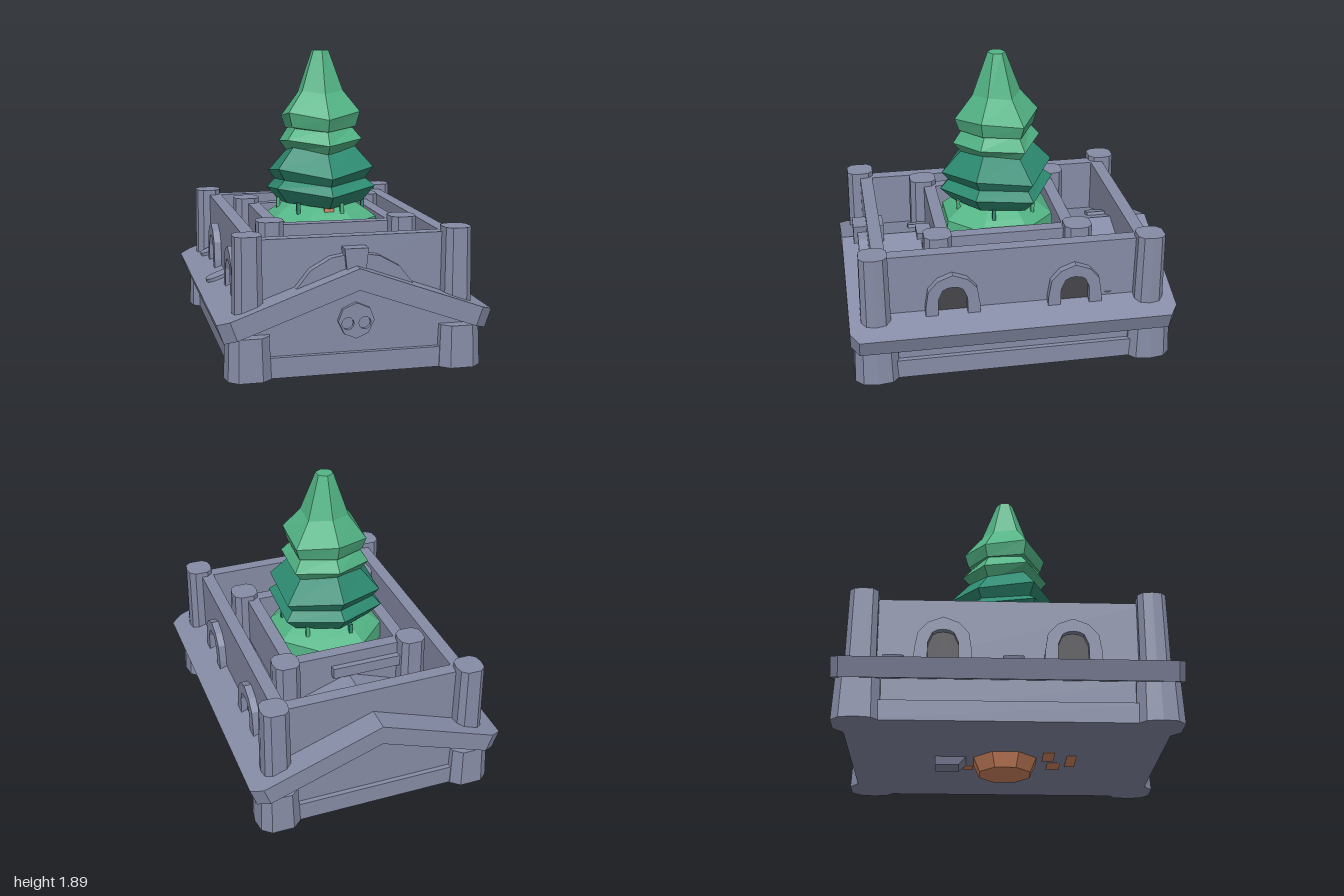
import * as THREE from 'three';

const mat = (name, color) => {
  const m = new THREE.MeshStandardMaterial({ color, flatShading: true });
  m.name = name;
  return m;
};

// Faceted solid through equal-length rings, each counter-clockwise seen from the far end
function loft(rings) {
  const pos = [];
  const tri = (a, b, c) => pos.push(...a, ...b, ...c);
  const n = rings[0].length;
  for (let r = 0; r + 1 < rings.length; r++) {
    const a = rings[r], b = rings[r + 1];
    for (let i = 0; i < n; i++) {
      const j = (i + 1) % n;
      tri(a[i], a[j], b[j]);
      tri(a[i], b[j], b[i]);
    }
  }
  const first = rings[0], last = rings[rings.length - 1];
  for (let i = 1; i + 1 < n; i++) {
    tri(first[0], first[i + 1], first[i]);
    tri(last[0], last[i], last[i + 1]);
  }
  const g = new THREE.BufferGeometry();
  g.setAttribute('position', new THREE.Float32BufferAttribute(pos, 3));
  g.computeVertexNormals();
  return g;
}

// Horizontal polygon ring with a corner at +z; jag lifts and drops alternate corners
const ring = (n, r, y, jag = 0, turn = 0) => Array.from({ length: n }, (_, i) => {
  const a = -Math.PI / 2 + turn + (i / n) * Math.PI * 2;
  return [r * Math.cos(a), y + (i % 2 ? jag : -jag), -r * Math.sin(a)];
});

// Chamfered, slightly bulging square ring for pillars
const pillarRing = (h, y) => {
  const c = h * 0.5, e = h * 0.9;
  return [[h, 0], [e, c * 1.3], [c, h], [-c, h], [-e, c * 1.3], [-h, 0],
    [-e, -c * 1.3], [-c, -h], [c, -h], [e, -c * 1.3]].map(([x, z]) => [x, y, -z]);
};

const shapeOf = (pts) => new THREE.Shape(pts.map(([x, y]) => new THREE.Vector2(x, y)));
const extrude = (shape, depth) =>
  new THREE.ExtrudeGeometry(shape, { depth, bevelEnabled: false, curveSegments: 6 });
const mirrored = (pts) => [...pts, ...pts.slice().reverse().filter(([x]) => x !== 0).map(([x, y]) => [-x, y])];

export function createModel() {
  const model = new THREE.Group();
  const stone = mat('stone', 0x868ca6);
  const dark = mat('dark opening', 0x46464b);
  const leaf = mat('light leaf', 0x53b586);
  const pine = mat('dark leaf', 0x2e8c72);
  const wood = mat('wood', 0xd68861);

  const add = (name, geo, m, x = 0, y = 0, z = 0) => {
    const mesh = new THREE.Mesh(geo, m);
    mesh.name = name;
    mesh.position.set(x, y, z);
    model.add(mesh);
    return mesh;
  };
  // Box given by its minimum and maximum on each axis
  const box = (name, m, x0, x1, y0, y1, z0, z1) =>
    add(name, new THREE.BoxGeometry(x1 - x0, y1 - y0, z1 - z0), m, (x0 + x1) / 2, (y0 + y1) / 2, (z0 + z1) / 2);

  // Lower building
  box('plinth', stone, -0.7, 0.7, 0.085, 0.205, -0.93, 0.93);
  const gable = shapeOf([[-0.67, 0.1], [0.67, 0.1], [0.67, 0.36], [0, 0.6], [-0.67, 0.36]]);
  add('body', extrude(gable, 1.8), stone, 0, 0, -0.9);

  // Gabled roof slab with clipped corners
  const section = (z, d) => [[0, 0.71], [-0.805 + d, 0.42 + d * 0.36], [-0.765 + d, 0.31 + d * 0.36],
    [0, 0.585], [0.765 - d, 0.31 + d * 0.36], [0.805 - d, 0.42 + d * 0.36]].map(([x, y]) => [x, y, z]);
  add('roof', loft([section(-1, 0.07), section(-0.95, 0), section(0.95, 0), section(1, 0.07)]), stone);

  // Corner pillars: stout below the roof, slim on both walls above
  const baseGeo = loft([pillarRing(0.137, 0.085), pillarRing(0.127, 0.335)]);
  const slimGeo = loft([pillarRing(0.09, 0.42), pillarRing(0.084, 0.9)]);
  for (const x of [-1, 1]) for (const z of [-1, 1]) {
    add('basePillar', baseGeo, stone, x * 0.619, 0, z * 0.847);
    add('outerPillar', slimGeo, stone, x * 0.615, 0, z * 0.84);
    add('innerPillar', slimGeo, stone, x * 0.41, 0, z * 0.434);
  }

  // Outer and inner wall rings
  const walls = (name, x, z, t, y0) => {
    for (const s of [-1, 1]) {
      const cx = s * (x - t / 2), cz = s * (z - t / 2);
      box(name + 'Side', stone, cx - t / 2, cx + t / 2, y0, 0.867, -z, z);
      box(name + 'End', stone, -x + t, x - t, y0, 0.867, cz - t / 2, cz + t / 2);
    }
  };
  walls('outerWall', 0.612, 0.842, 0.08, 0.4);
  walls('innerWall', 0.407, 0.432, 0.077, 0.45);

  // Arches with keystones on the front of each wall
  const arc = (rx, ry) => Array.from({ length: 9 }, (_, i) => {
    const a = Math.PI * (i / 8);
    return [rx * Math.cos(a), ry * Math.sin(a)];
  });
  const archGeo = extrude(shapeOf([...arc(0.37, 0.31), ...arc(0.25, 0.225).reverse()]), 0.08);
  for (const [y, z] of [[0.47, 0.82], [0.39, 0.42]]) {
    add('arch', archGeo, stone, 0, y, z);
    const k = extrude(shapeOf([[-0.055, 0.2], [0.055, 0.2], [0.07, 0.34], [-0.07, 0.34]]), 0.19);
    add('keystone', k, stone, 0, y, z - 0.085);
  }
  box('backSlab', stone, -0.4, 0.11, 0.72, 0.79, -0.47, -0.42);

  // Side windows: arched frame and dark opening
  const outer = mirrored([[0.168, 0.4], [0.165, 0.53], [0.148, 0.64], [0.09, 0.705], [0, 0.74]]);
  const inner = mirrored([[0.09, 0.4], [0.088, 0.58], [0.062, 0.64], [0.035, 0.655], [0, 0.66]]);
  const frame = extrude(shapeOf([...outer, ...inner.slice().reverse()]), 0.05);
  const opening = extrude(shapeOf(inner), 0.008);
  for (const s of [-1, 1]) for (const z of [-0.375, 0.375]) {
    add('windowFrame', frame, stone, s * 0.607, 0, z).rotation.y = s * Math.PI / 2;
    add('windowOpening', opening, dark, s * 0.61, 0, z).rotation.y = s * Math.PI / 2;
  }

  // Gable medallion with two round hollows
  const medal = shapeOf(mirrored([[0, 0.285], [0.07, 0.315], [0.107, 0.39], [0.08, 0.46], [0, 0.495]]));
  for (const x of [-0.05, 0.05]) {
    const hole = new THREE.Path();
    hole.absellipse(x, 0.375, 0.036, 0.036, 0, Math.PI * 2, true);
    medal.holes.push(hole);
  }
  add('medallion', extrude(medal, 0.03), stone, 0, 0, 0.895);

  // Rounded tiles lying on the roof slopes, round end downhill
  const slope = Math.atan(0.36);
  const tile = new THREE.Shape();
  tile.moveTo(-0.06, -0.06);
  tile.lineTo(0.01, -0.06);
  tile.absarc(0.01, 0, 0.06, -Math.PI / 2, Math.PI / 2, false);
  tile.lineTo(-0.06, 0.06);
  for (const [x, z] of [[-0.17, -0.7], [0.54, -0.59], [-0.62, -0.66], [-0.67, 0.03], [0.46, 0.27], [-0.24, 0.5], [0.23, 0.69]]) {
    const s = Math.sign(x);
    const g = extrude(tile, 0.035).rotateX(-Math.PI / 2);
    if (s < 0) g.rotateY(Math.PI);
    add('roofTile', g.rotateZ(-s * slope), stone, x, 0.695 - 0.36 * Math.abs(x), z);
  }

  // Trunk with its tapered foot, root patches and a loose slab below the floor
  add('trunk', loft([ring(8, 0.165, 0, 0, 0.39), ring(8, 0.205, 0.085, 0, 0.39), ring(8, 0.16, 0.4), ring(8, 0.15, 1.0)]), wood);
  for (const [x, z, w, d] of [[-0.1, 0.26, 0.16, 0.07], [0.08, 0.3, 0.12, 0.08], [-0.02, 0.4, 0.2, 0.06], [0.12, -0.22, 0.08, 0.06]])
    box('root', wood, x - w / 2, x + w / 2, 0.082, 0.09, z - d / 2, z + d / 2);
  add('looseSlab', loft([
    [[0.07, 0.04, -0.42], [-0.07, 0.04, -0.42], [-0.07, 0.04, -0.28], [0.07, 0.04, -0.28]],
    [[0.09, 0.09, -0.42], [-0.09, 0.09, -0.42], [-0.09, 0.09, -0.23], [0.09, 0.09, -0.23]],
  ]), stone);

  // Foliage tiers, listed as radius, height and jag from bottom to top
  const tiers = [
    ['crown', leaf, [[0.19, 1.4, 0], [0.235, 1.405, 0.012], [0.262, 1.49, 0.02], [0.15, 1.63, 0.01], [0.055, 1.89, 0]]],
    ['upperTier', leaf, [[0.15, 1.25, 0], [0.21, 1.25, 0.02], [0.275, 1.325, 0.015], [0.21, 1.41, 0], [0.18, 1.43, 0]]],
    ['middleTier', pine, [[0.2, 1.06, 0], [0.29, 1.06, 0.02], [0.35, 1.14, 0.025], [0.23, 1.27, 0.02], [0.17, 1.31, 0]]],
    ['lowerTier', pine, [[0.2, 0.93, 0], [0.28, 0.935, 0.012], [0.362, 1.025, 0.02], [0.3, 1.08, 0.01], [0.24, 1.1, 0]]],
  ];
  for (const [name, m, rows] of tiers) add(name, loft(rows.map(([r, y, j]) => ring(6, r, y, j))), m);
  const skirt = [[0.37, 0.74], [0.36, 0.84], [0.3, 0.885], [0.18, 0.96]];
  add('skirt', loft(skirt.map(([r, y]) => ring(8, r, y, 0, Math.PI / 8))), leaf);

  // Short twigs hanging over the skirt, and a stub of bare wood in front
  for (let i = 0; i < 6; i++) {
    const a = i * Math.PI / 3 + 0.3;
    add('twig', new THREE.BoxGeometry(0.022, 0.07, 0.022), i % 2 ? pine : leaf, 0.27 * Math.sin(a), 0.92, 0.27 * Math.cos(a));
  }
  box('woodStub', wood, -0.03, 0.03, 0.9, 0.95, 0.2, 0.26);

  return model;
}
